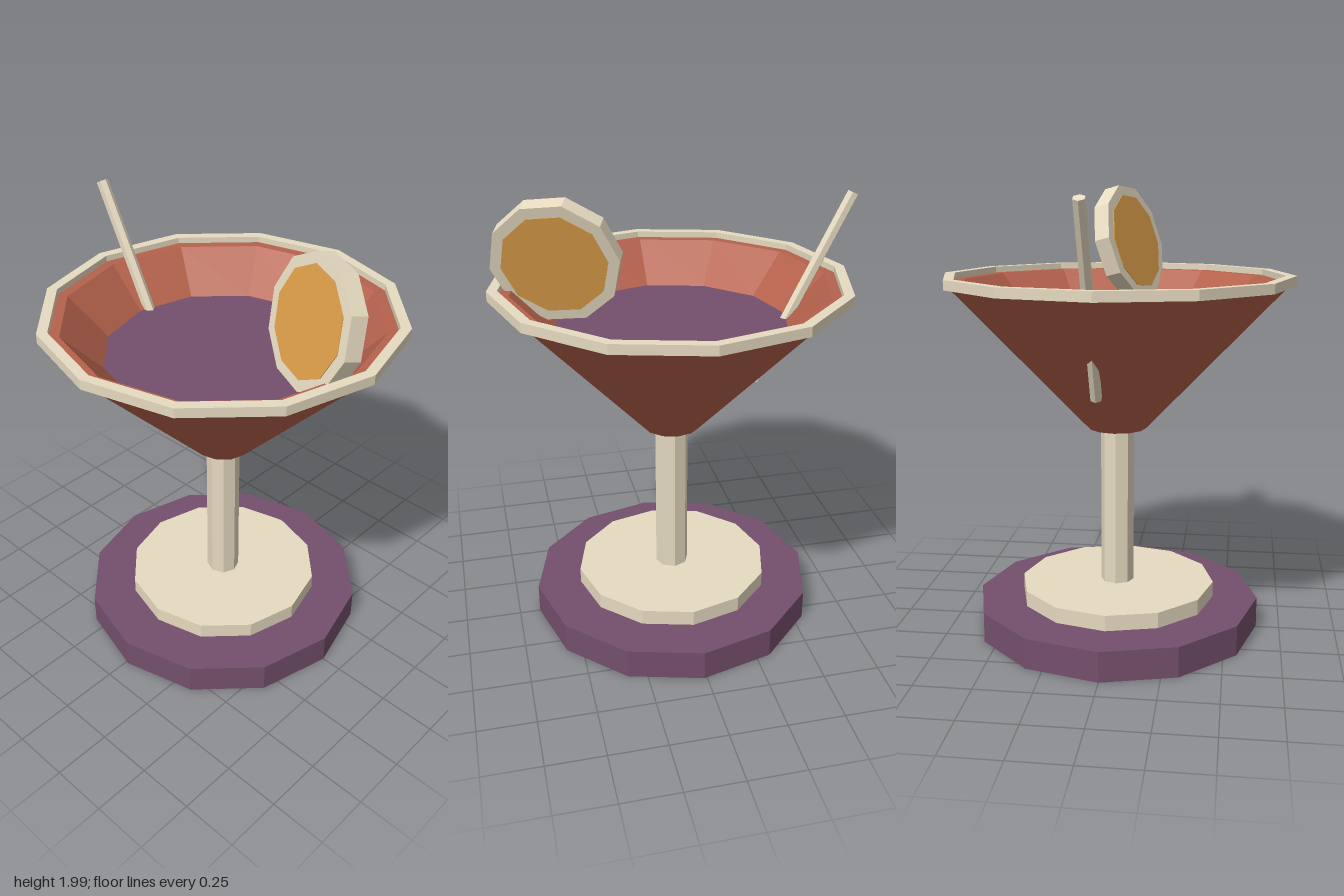
import * as THREE from 'three';

const mat = (color) => new THREE.MeshStandardMaterial({ color, flatShading: true });

export function createModel() {
  const model = new THREE.Group();
  model.name = 'cocktailGlass';
  const cream = mat(0xe6dac0);
  const purple = mat(0x744f6c);
  const red = mat(0xb5624c);
  const orange = mat(0xdd9f4a);

  const add = (name, geometry, material, parent) => {
    const mesh = new THREE.Mesh(geometry, material);
    mesh.name = name;
    parent.add(mesh);
    return mesh;
  };
  // upright faceted disc or post between two heights
  const post = (name, r, y0, y1, sides, material, parent) => {
    const mesh = add(name, new THREE.CylinderGeometry(r, r, y1 - y0, sides), material, parent);
    mesh.position.y = (y0 + y1) / 2;
    return mesh;
  };
  const lathe = (name, pts, material, parent) =>
    add(name, new THREE.LatheGeometry(pts.map(([r, y]) => new THREE.Vector2(r, y)), 12), material, parent);

  // glass, turned around one axis
  const glass = new THREE.Group();
  glass.name = 'glass';
  glass.position.x = 0.012;
  model.add(glass);
  post('base', 0.645, 0, 0.135, 12, purple, glass);
  post('foot', 0.443, 0.135, 0.205, 12, cream, glass);
  post('stem', 0.075, 0.205, 0.94, 8, cream, glass);
  lathe('bowl', [[0, 0.925], [0.13, 0.925], [0.76, 1.585], [0.685, 1.585], [0.515, 1.41], [0.1, 0.98], [0, 0.98]], red, glass);
  lathe('rim', [[0.73, 1.57], [0.775, 1.57], [0.775, 1.612], [0.73, 1.612], [0.73, 1.57]], cream, glass);
  post('drink', 0.515, 1.395, 1.41, 12, purple, glass);

  // leaning straw
  const top = new THREE.Vector3(-0.762, 1.945, -0.044);
  const bottom = new THREE.Vector3(-0.352, 1.127, -0.044);
  const axis = top.clone().sub(bottom);
  const straw = add('straw', new THREE.CylinderGeometry(0.026, 0.026, axis.length(), 6, 1, false, Math.PI / 2), cream, model);
  straw.position.copy(top).add(bottom).multiplyScalar(0.5);
  straw.quaternion.setFromUnitVectors(new THREE.Vector3(0, 1, 0), axis.normalize());

  // fruit slice, tilted back and turned on the rim
  const slice = new THREE.Group();
  slice.name = 'fruitSlice';
  slice.position.set(0.495, 1.723, 0);
  slice.rotation.set(-0.25, -0.35, -0.105, 'YXZ');
  model.add(slice);
  const disc = (name, r, depth, material) => {
    // 10-sided, facing z, with a corner on the x axis
    const g = new THREE.CylinderGeometry(r, r, depth, 10, 1, false, Math.PI / 2);
    add(name, g.rotateX(Math.PI / 2), material, slice);
  };
  disc('peel', 0.275, 0.075, cream);
  disc('pulp', 0.227, 0.081, orange);

  return model;
}
